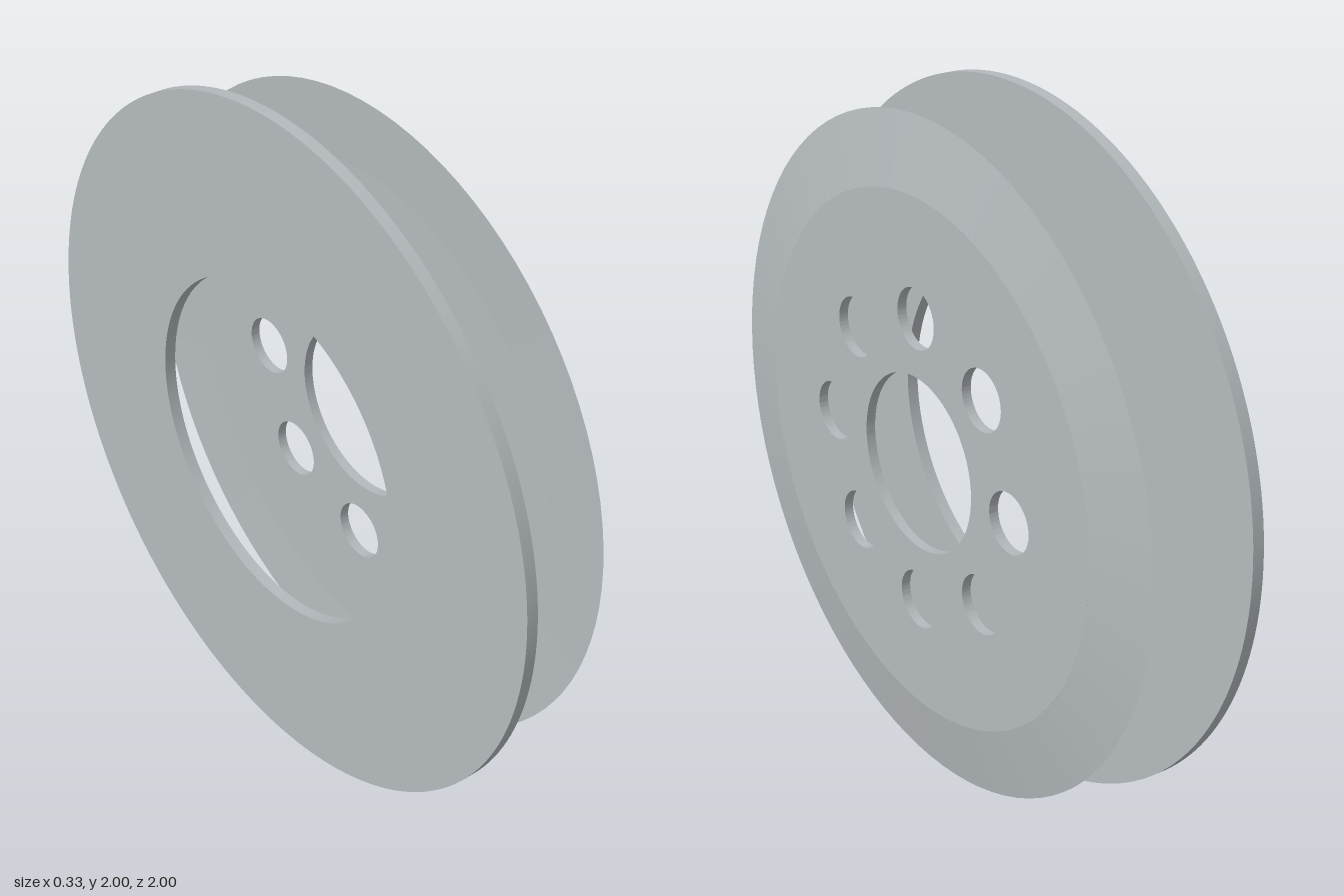
import * as THREE from 'three';
import { toCreasedNormals } from 'three/addons/utils/BufferGeometryUtils.js';

const SEGMENTS = 96;

// Flat round plate with circular holes, spanning x0..x1 along the axle (x)
function plate(radius, x0, x1, holes) {
  const shape = new THREE.Shape().absarc(0, 0, radius, 0, Math.PI * 2);
  for (const [y, z, r] of holes) {
    shape.holes.push(new THREE.Path().absarc(z, y, r, 0, Math.PI * 2, true));
  }
  const geo = new THREE.ExtrudeGeometry(shape, {
    depth: x1 - x0, bevelEnabled: false, curveSegments: SEGMENTS,
  });
  geo.rotateY(Math.PI / 2).translate(x0, 0, 0);
  return toCreasedNormals(geo, 0.6);
}

// Conical band around the axle, from [radius, x] to [radius, x]
function cone(a, b) {
  const geo = new THREE.LatheGeometry([new THREE.Vector2(...a), new THREE.Vector2(...b)], SEGMENTS);
  return geo.rotateZ(-Math.PI / 2);
}

export function createModel() {
  const group = new THREE.Group();
  const metal = new THREE.MeshStandardMaterial({ color: 0xb4babd });
  metal.name = 'greyMetal';

  const add = (name, geo) => {
    const mesh = new THREE.Mesh(geo, metal);
    mesh.name = name;
    mesh.position.y = 1;
    group.add(mesh);
  };

  // Wide flat ring
  add('flatRing', plate(1, -0.167, -0.133, [[0, 0, 0.5]]));

  // Pressure plate: centre bore and eight bolt holes
  const holes = [[0, 0, 0.252]];
  for (let i = 0; i < 8; i++) {
    const a = (i * Math.PI) / 4;
    holes.push([0.418 * Math.sin(a), 0.418 * Math.cos(a), 0.085]);
  }
  const front = 0.167, back = 0.139, rim = 0.132;
  add('boltPlate', plate(0.75, back, front, holes));

  // Tapered rim, thinning to a sharp edge
  add('rimOuterFace', cone([0.95, rim], [0.75, front]));
  add('rimInnerFace', cone([0.75, back], [0.95, rim]));

  return group;
}
